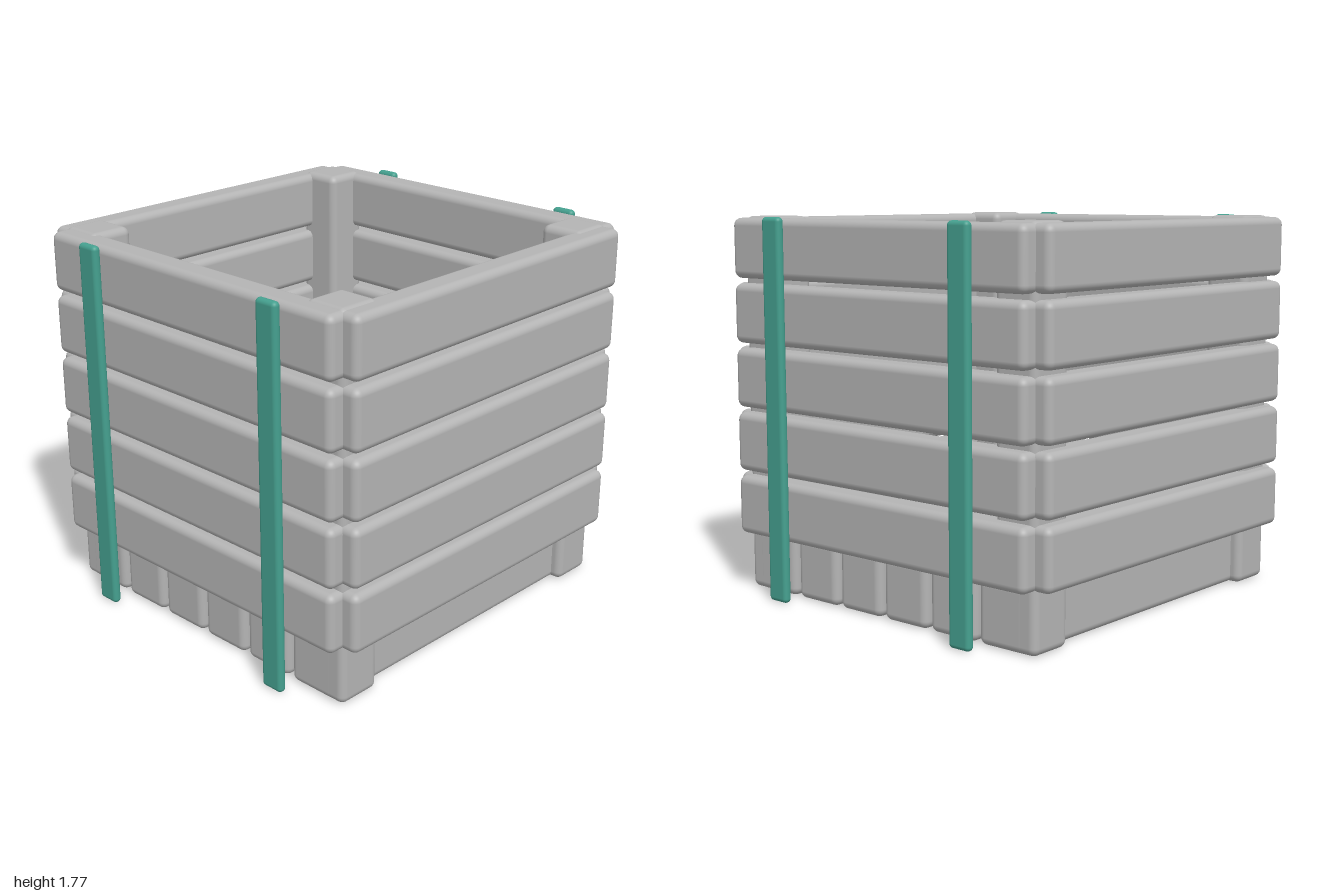
import * as THREE from 'three';
import { RoundedBoxGeometry } from 'three/addons/geometries/RoundedBoxGeometry.js';

export function createModel() {
  const crate = new THREE.Group();
  crate.name = 'slattedCrate';

  const greyBoard = new THREE.MeshStandardMaterial({ color: 0xb4b4b4 });
  greyBoard.name = 'greyBoard';
  const tealStrap = new THREE.MeshStandardMaterial({ color: 0x45a08f });
  tealStrap.name = 'tealStrap';

  // One rounded board, centred at x, y, z
  function addBoard(name, geometry, material, x, y, z) {
    const mesh = new THREE.Mesh(geometry, material);
    mesh.name = name;
    mesh.position.set(x, y, z);
    crate.add(mesh);
  }

  const postGeo = new RoundedBoxGeometry(0.22, 1.767, 0.22, 4, 0.035);
  const floorGeo = new RoundedBoxGeometry(0.26, 0.29, 1.767, 4, 0.035);
  const endSlatGeo = new RoundedBoxGeometry(1.767, 0.277, 0.142, 4, 0.035);
  const sideSlatGeo = new RoundedBoxGeometry(0.142, 0.277, 1.767, 4, 0.035);
  const strapGeo = new RoundedBoxGeometry(0.116, 1.767, 0.042, 4, 0.02);

  // Corner posts
  for (const sx of [-1, 1])
    for (const sz of [-1, 1])
      addBoard('cornerPost', postGeo, greyBoard, sx * 0.773, 0.884, sz * 0.773);

  // Floor boards running front to back
  for (let i = 0; i < 6; i++)
    addBoard('floorBoard', floorGeo, greyBoard, (i - 2.5) * 0.281, 0.145, 0);

  // Five rows of wall slats on all four sides
  for (let row = 0; row < 5; row++) {
    const y = 0.413 + row * 0.302;
    for (const s of [-1, 1]) {
      addBoard('endSlat', endSlatGeo, greyBoard, 0, y, s * 0.885);
      addBoard('sideSlat', sideSlatGeo, greyBoard, s * 0.885, y, 0);
    }
  }

  // Upright straps, two on the front and two on the back
  for (const sx of [-1, 1])
    for (const sz of [-1, 1])
      addBoard('strap', strapGeo, tealStrap, sx * 0.566, 0.884, sz * 0.979);

  return crate;
}
